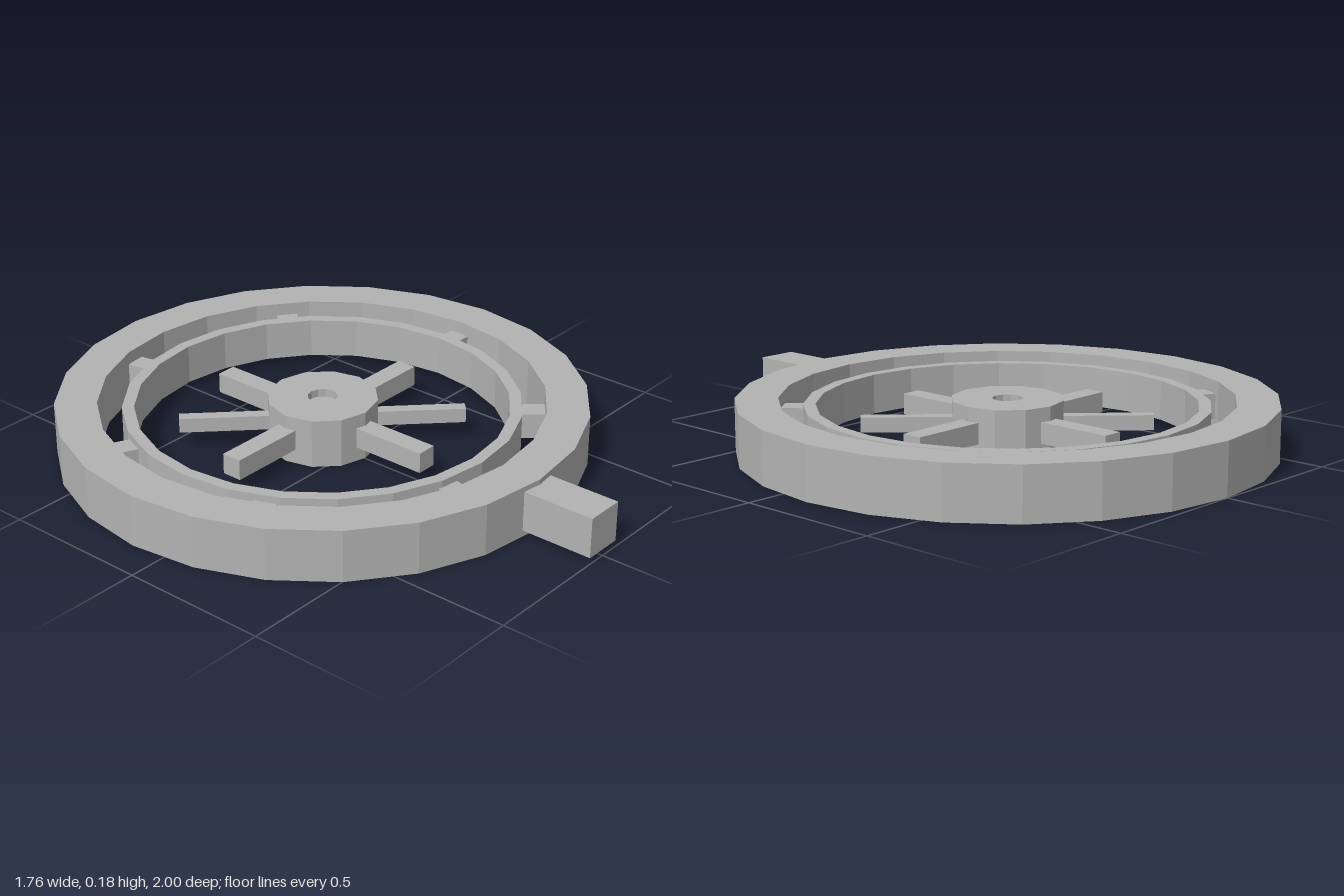
import * as THREE from 'three';

export function createModel() {
  const root = new THREE.Group();
  root.name = 'handwheel';
  const grey = new THREE.MeshStandardMaterial({ color: 0xb3b3b3, flatShading: true });
  grey.name = 'plain grey';

  // Everything but the handle is centred on the wheel axis
  const wheel = new THREE.Group();
  wheel.name = 'wheel';
  wheel.position.z = -0.12;
  root.add(wheel);

  const MID = 0.088; // mid height shared by all parts

  const add = (name, geometry, parent = wheel) => {
    const mesh = new THREE.Mesh(geometry, grey);
    mesh.name = name;
    parent.add(mesh);
    return mesh;
  };

  // Faceted ring with a rectangular section
  const ring = (name, inner, outer, y0, y1, sides) => {
    const section = [[outer, y0], [outer, y1], [inner, y1], [inner, y0], [outer, y0]];
    return add(name, new THREE.LatheGeometry(section.map(p => new THREE.Vector2(...p)), sides));
  };

  // Radial bar from radius r0 to r1 at an angle around y
  const bar = (name, angle, r0, r1, height, width) => {
    const geometry = new THREE.BoxGeometry(r1 - r0, height, width);
    geometry.translate((r0 + r1) / 2, MID, 0);
    return add(name, geometry).rotation.y = angle;
  };

  // Rims
  ring('outerRim', 0.74, 0.88, 0, 0.176, 24);
  ring('innerRim', 0.62, 0.66, 0.02, 0.156, 24);

  // Hub with a recessed axle core
  ring('hub', 0.05, 0.185, 0.003, 0.17, 12);
  const core = new THREE.CylinderGeometry(0.05, 0.05, 0.11, 12);
  core.translate(0, MID, 0);
  add('axleCore', core);

  // Four wide spokes and two narrow diagonal ones
  for (let i = 0; i < 4; i++) bar('wideSpoke', i * Math.PI / 2, 0.16, 0.44, 0.07, 0.07);
  for (let i = 0; i < 2; i++) bar('narrowSpoke', -Math.PI / 4 + i * Math.PI, 0.16, 0.475, 0.05, 0.04);

  // Seven tabs joining the rims
  for (let i = 0; i < 7; i++) bar('rimTab', i * Math.PI * 2 / 7, 0.645, 0.745, 0.088, 0.074);

  // Square handle at the front
  const handle = new THREE.BoxGeometry(0.136, 0.136, 0.28);
  handle.translate(0, MID + 0.002, 0.86);
  add('handle', handle, root);

  return root;
}
